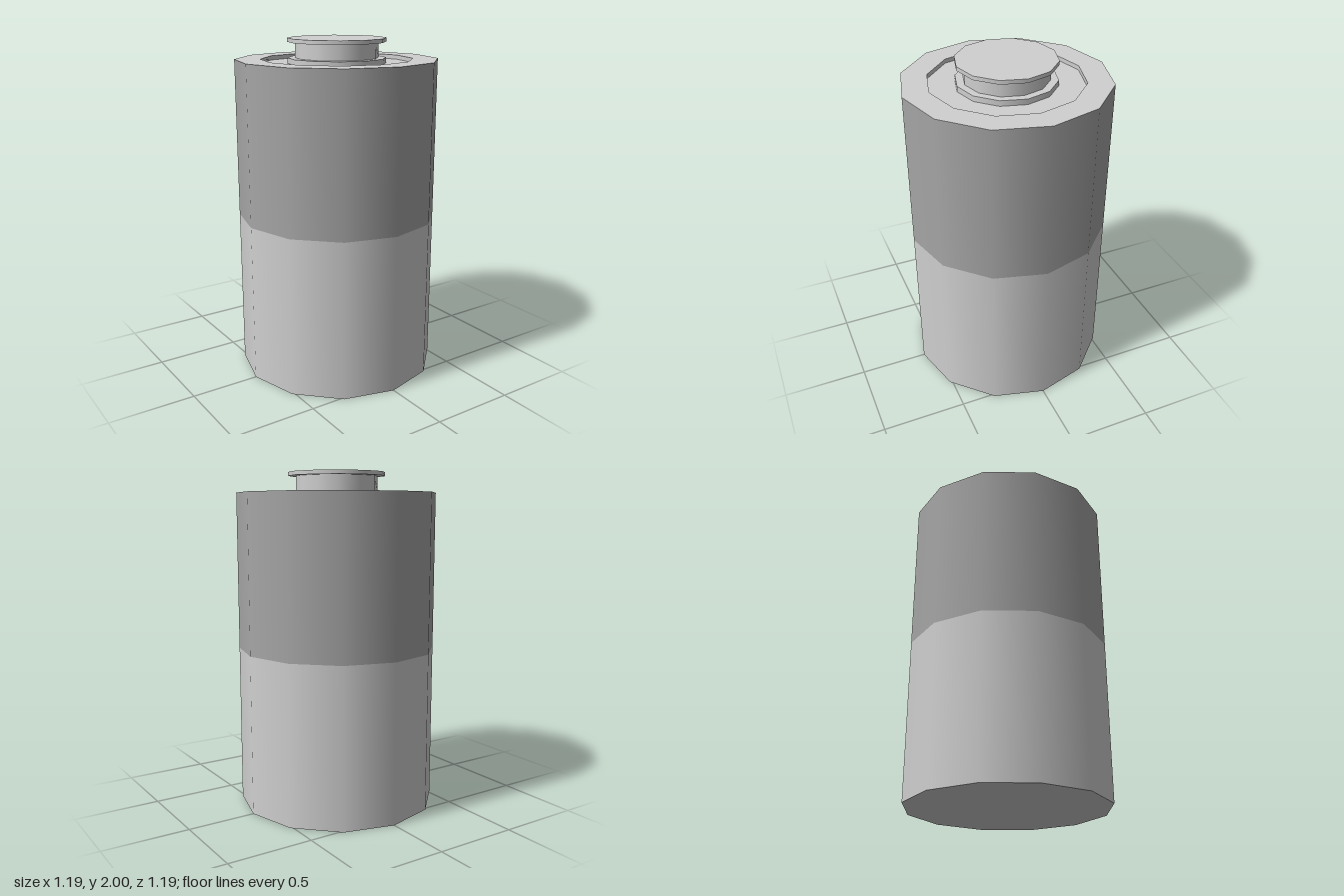
import * as THREE from 'three';
import { mergeGeometries } from 'three/addons/utils/BufferGeometryUtils.js';

const SIDES = 12;

// Revolves each profile segment separately: smooth around, crisp between segments.
function turned(name, profile, material) {
  const bands = [];
  for (let i = 0; i < profile.length - 1; i++) {
    const pair = [profile[i], profile[i + 1]].map(([r, y]) => new THREE.Vector2(r, y));
    bands.push(new THREE.LatheGeometry(pair, SIDES));
  }
  const mesh = new THREE.Mesh(mergeGeometries(bands), material);
  mesh.name = name;
  return mesh;
}

export function createModel() {
  const light = new THREE.MeshStandardMaterial({ color: 0xd0d0d0 });
  light.name = 'lightGrey';
  const dark = new THREE.MeshStandardMaterial({ color: 0xa6a6a6 });
  dark.name = 'darkGrey';

  const R = 0.595, recessR = 0.445, capR = 0.288, neckR = 0.243;
  const bandY = 0.95, rimY = 1.88, floorY = 1.855;

  const model = new THREE.Group();
  model.name = 'battery';
  model.add(
    // Casing: closed bottom with lower half, then the darker upper half
    turned('lowerCasing', [[0, 0], [R, 0], [R, bandY]], light),
    turned('upperCasing', [[R, bandY], [R, rimY]], dark),
    // Top rim stepping down into a shallow recess
    turned('topRim', [[R, rimY], [recessR, rimY], [recessR, floorY], [0, floorY]], light),
    // Spool-shaped terminal: base flange, neck and cap
    turned('terminalBase', [[capR, floorY], [capR, 1.887], [neckR, 1.887]], light),
    turned('terminalNeck', [[neckR, 1.887], [neckR, 1.977]], light),
    turned('terminalCap', [[neckR, 1.977], [capR, 1.977], [capR, 2], [0, 2]], light),
  );
  return model;
}
